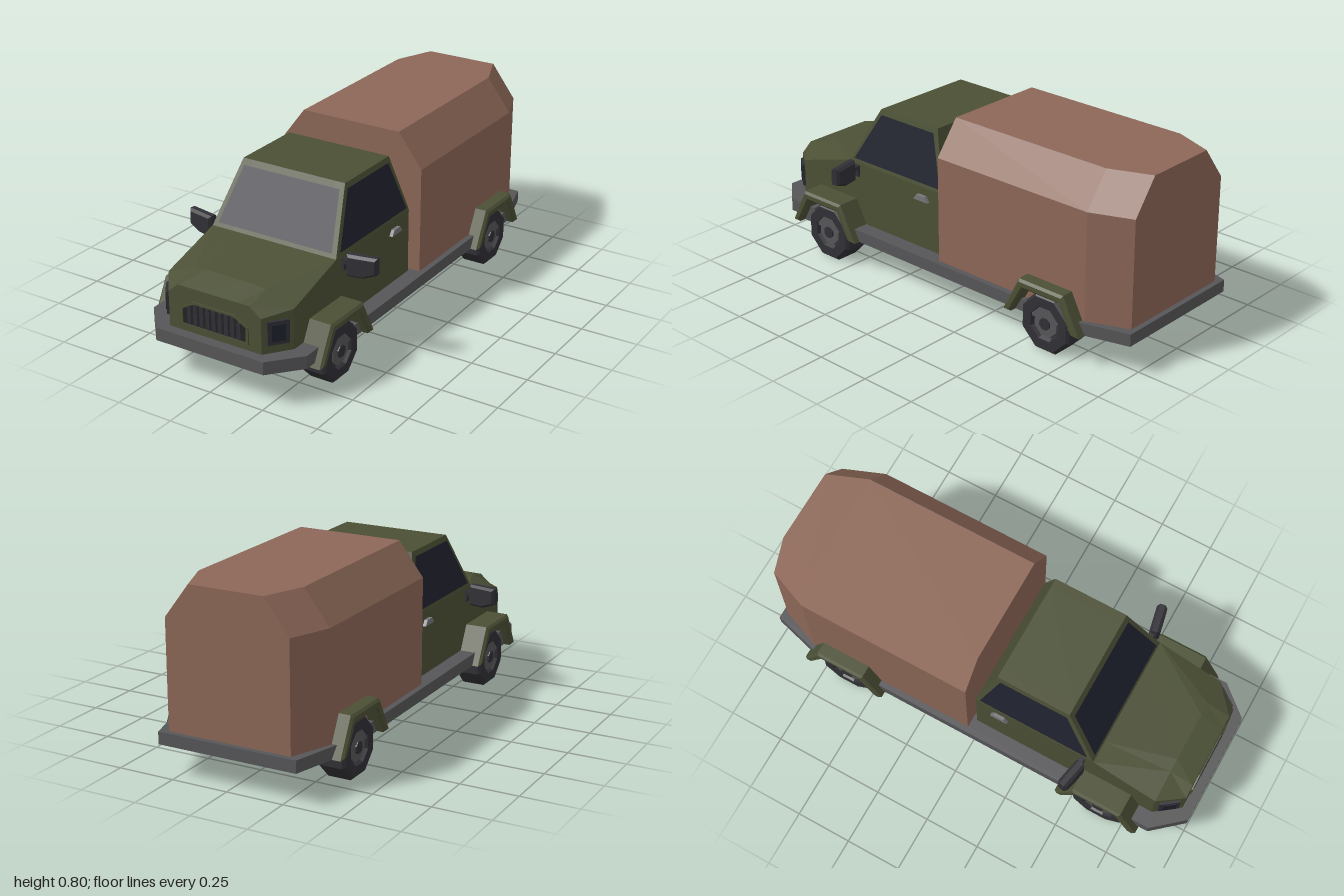
import * as THREE from 'three';

const mat = (color) => new THREE.MeshStandardMaterial({ color, flatShading: true, side: THREE.DoubleSide });

// Mirrored half sections (bottom to top), listed front to back, joined into a closed hull
function loft(sections) {
  const rings = sections.map(([z, half]) => [
    ...half.map(([x, y]) => [x, y, z]),
    ...half.slice().reverse().map(([x, y]) => [-x, y, z]),
  ]);
  const pos = [];
  const tri = (a, b, c) => pos.push(...a, ...b, ...c);
  const n = rings[0].length;
  for (let i = 0; i < rings.length - 1; i++) {
    const F = rings[i], B = rings[i + 1];
    for (let j = 0; j < n; j++) {
      const k = (j + 1) % n;
      tri(F[j], B[j], F[k]);
      tri(F[k], B[j], B[k]);
    }
  }
  const first = rings[0], last = rings[rings.length - 1];
  for (let j = 1; j < n - 1; j++) {
    tri(first[0], first[j], first[j + 1]);
    tri(last[0], last[j + 1], last[j]);
  }
  const g = new THREE.BufferGeometry();
  g.setAttribute('position', new THREE.Float32BufferAttribute(pos, 3));
  g.computeVertexNormals();
  return g;
}

const shapeOf = (pts) => new THREE.Shape(pts.map(([x, y]) => new THREE.Vector2(x, y)));

// Outline in (x, z), extruded downward from the top height
function plate(pts, top, height) {
  const g = new THREE.ExtrudeGeometry(shapeOf(pts), { depth: height, bevelEnabled: false });
  return g.rotateX(Math.PI / 2).translate(0, top, 0);
}

// Outline in (z, y), extruded across the width and centred on x = 0
function across(pts, width, bevel = 0) {
  const depth = width - 2 * bevel;
  const g = new THREE.ExtrudeGeometry(shapeOf(pts), {
    depth, bevelEnabled: bevel > 0, bevelSize: bevel, bevelThickness: bevel, bevelOffset: -bevel, bevelSegments: 1,
  });
  return g.translate(0, 0, -depth / 2).rotateY(-Math.PI / 2);
}

function quad(a, b, c, d) {
  const g = new THREE.BufferGeometry();
  g.setAttribute('position', new THREE.Float32BufferAttribute([a, b, c, a, c, d].flat(), 3));
  g.computeVertexNormals();
  return g;
}

export function createModel() {
  const model = new THREE.Group();
  model.name = 'truck';
  const green = mat(0x4b5035), brown = mat(0x8c6757), grey = mat(0x565658);
  const dark = mat(0x303036), glass = mat(0x20222f), steel = mat(0x77777a);
  const add = (name, geometry, material, parent = model) => {
    const mesh = new THREE.Mesh(geometry, material);
    mesh.name = name;
    parent.add(mesh);
    return mesh;
  };

  // Chassis and front bumper
  add('chassis', plate([[0.37, 0.8], [0.37, -0.78], [0.31, -1], [-0.31, -1], [-0.37, -0.78], [-0.37, 0.8]], 0.19, 0.053), grey);
  add('bumper', plate([[0.37, 0.72], [0.37, 0.87], [0.257, 1], [-0.257, 1], [-0.37, 0.87], [-0.37, 0.72]], 0.212, 0.056), grey);

  // Cabin and bonnet
  add('cabin', loft([
    [0.955, [[0.22, 0.19], [0.22, 0.365], [0.17, 0.405], [0.11, 0.405]]],
    [0.85, [[0.3, 0.19], [0.3, 0.385], [0.17, 0.433], [0.11, 0.44]]],
    [0.555, [[0.3, 0.19], [0.3, 0.47], [0.299, 0.47], [0.2, 0.47]]],
    [0.405, [[0.3, 0.19], [0.3, 0.47], [0.245, 0.728], [0.2, 0.728]]],
    [0.075, [[0.3, 0.19], [0.3, 0.47], [0.245, 0.728], [0.2, 0.728]]],
    [0, [[0.3, 0.19], [0.3, 0.47], [0.298, 0.48], [0.2, 0.48]]],
  ]), green);

  // Windows, laid just above the sloping cabin faces
  const frontZ = (y) => 0.559 - (y - 0.47) * 0.581;
  const sideX = (y) => 0.303 - (y - 0.47) * 0.213;
  const lo = 0.487, hi = 0.705;
  add('windshield', quad([-0.275, lo, frontZ(lo)], [0.275, lo, frontZ(lo)], [0.23, hi, frontZ(hi)], [-0.23, hi, frontZ(hi)]), glass);
  for (const s of [1, -1]) {
    const x0 = s * sideX(lo), x1 = s * sideX(hi);
    const corners = [[x0, lo, 0.525], [x0, lo, 0.018], [x1, hi, 0.092], [x1, hi, 0.398]];
    add('sideWindow', quad(...(s > 0 ? corners : corners.reverse())), glass);
  }

  // Grille: frame with an opening, dark backing and upright bars
  const outer = [[-0.162, 0.238], [0.162, 0.238], [0.162, 0.313], [0.1, 0.35], [-0.1, 0.35], [-0.162, 0.313]];
  const inner = outer.map(([x, y]) => [x * 0.93, 0.294 + (y - 0.294) * 0.84]);
  const frame = shapeOf(outer);
  frame.holes.push(new THREE.Path(inner.map(([x, y]) => new THREE.Vector2(x, y))));
  add('grilleFrame', new THREE.ExtrudeGeometry(frame, { depth: 0.008, bevelEnabled: false }).translate(0, 0, 0.953), green);
  add('grilleBack', new THREE.ShapeGeometry(shapeOf(inner)).translate(0, 0, 0.957), mat(0x232327));
  for (let i = -4; i <= 4; i++) {
    const h = Math.abs(i) > 3 ? 0.072 : 0.09;
    add('grilleBar', new THREE.BoxGeometry(0.018, h, 0.006).translate(i * 0.0295, 0.249 + h / 2, 0.959), dark);
  }

  for (const s of [1, -1]) {
    // Headlight on the angled nose corner
    const light = new THREE.Group();
    light.name = 'headlight';
    light.position.set(s * 0.262, 0.3, 0.903);
    light.rotation.y = s * 0.92;
    add('housing', new THREE.BoxGeometry(0.088, 0.1, 0.018), dark, light);
    add('lens', new THREE.BoxGeometry(0.056, 0.07, 0.024), glass, light);
    model.add(light);

    // Wing mirror with arm
    const mirror = new THREE.Group();
    mirror.name = 'mirror';
    const outline = [[0, -0.045], [0.058, -0.045], [0.11, -0.025], [0.11, 0.03], [0, 0.03]].map(([x, y]) => [s * x, y]);
    const head = new THREE.ExtrudeGeometry(shapeOf(outline), {
      depth: 0.022, bevelSize: 0.01, bevelThickness: 0.012, bevelSegments: 1,
    }).translate(0, 0, -0.011);
    add('mirrorHead', head, dark, mirror);
    mirror.position.set(s * 0.335, 0.45, 0.512);
    mirror.rotation.y = s * 0.2;
    model.add(mirror);
    add('mirrorArm', new THREE.BoxGeometry(0.05, 0.02, 0.02).translate(s * 0.312, 0.449, 0.505), dark);
    add('mirrorBracket', new THREE.BoxGeometry(0.014, 0.05, 0.025).translate(s * 0.304, 0.435, 0.505), dark);

    // Door handle
    const handle = across([[0.075, 0.412], [0.155, 0.412], [0.138, 0.436], [0.092, 0.436]], 0.018);
    add('doorHandle', handle.translate(s * 0.306, 0, 0), steel);
  }

  // Cargo cover with a narrowing tail
  const cover = (d) => [[0.345 - d, 0.19], [0.345 - d, 0.655], [0.235 - d, 0.8]];
  add('cargoCover', loft([[-0.02, cover(0)], [-0.8, cover(0)], [-0.977, cover(0.07)]]), brown);

  // Axles, wheels and wheel arches
  for (const z of [0.632, -0.622]) {
    const arch = [
      [0.195, 0.137], [0.113, 0.297], [-0.113, 0.297], [-0.195, 0.137],
      [-0.155, 0.137], [-0.088, 0.258], [0.088, 0.258], [0.155, 0.137],
    ].map(([dz, y]) => [z + dz, y]);
    add('wheelArch', across(arch, 0.815, 0.01), green);
    const housing = [[-0.15, 0.15], [-0.07, 0.055], [0.07, 0.055], [0.15, 0.15]].map(([dz, y]) => [z + dz, y]);
    add('axleHousing', across(housing, 0.455), green);
    add('axle', new THREE.CylinderGeometry(0.018, 0.018, 0.6, 8).rotateZ(Math.PI / 2).translate(0, 0.122, z), dark);

    for (const s of [1, -1]) {
      const wheel = new THREE.Group();
      wheel.name = 'wheel';
      wheel.position.set(s * 0.319, 0.122, z);
      wheel.rotation.y = s > 0 ? 0 : Math.PI;
      // Octagonal tyre with a recessed face, flat side down
      const tyre = new THREE.LatheGeometry(
        [[0, -0.056], [0.132, -0.056], [0.132, 0.044], [0.12, 0.056], [0.076, 0.056], [0.066, 0.038], [0, 0.038]]
          .map(([r, y]) => new THREE.Vector2(r, y)), 8, Math.PI / 8);
      add('tyre', tyre.rotateZ(-Math.PI / 2), dark, wheel);
      const disc = (r, h, x) => new THREE.CylinderGeometry(r, r, h, 8).rotateY(Math.PI / 8).rotateZ(-Math.PI / 2).translate(x, 0, 0);
      add('rim', disc(0.06, 0.012, 0.042), grey, wheel);
      add('hub', disc(0.027, 0.02, 0.046), dark, wheel);
      model.add(wheel);
    }
  }
  return model;
}
